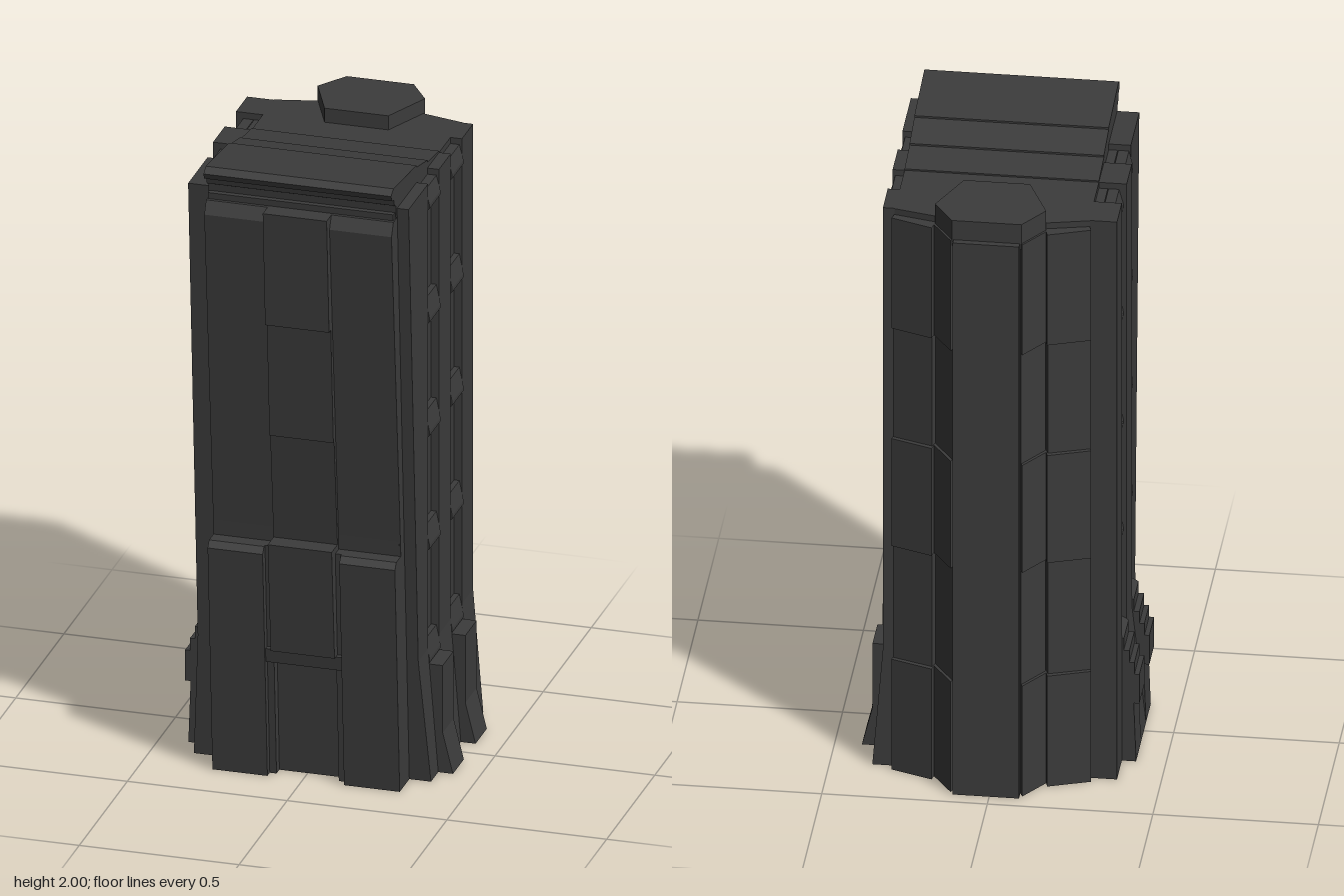
import * as THREE from 'three';

export function createModel() {
  const tower = new THREE.Group();
  tower.name = 'tower';
  const material = new THREE.MeshStandardMaterial({ color: 0x3c3c3c, flatShading: true });

  const add = (name, geometry) => {
    const mesh = new THREE.Mesh(geometry, material);
    mesh.name = name;
    tower.add(mesh);
    return mesh;
  };
  const extrude = (points, depth) => new THREE.ExtrudeGeometry(
    new THREE.Shape(points.map(([a, b]) => new THREE.Vector2(a, b))), { depth, bevelEnabled: false });

  // Plan outline [x, z] raised from y0 to y1
  const raise = (name, plan, y0, y1) =>
    add(name, extrude(plan.map(([x, z]) => [x, -z]), y1 - y0).rotateX(-Math.PI / 2).translate(0, y0, 0));
  // Side profile [z, y] swept from x0 to x1
  const sweepX = (name, profile, x0, x1) =>
    add(name, extrude(profile.map(([z, y]) => [-z, y]), x1 - x0).rotateY(Math.PI / 2).translate(x0, 0, 0));
  // Front profile [x, y] swept from z0 to z1
  const sweepZ = (name, profile, z0, z1) =>
    add(name, extrude(profile, z1 - z0).translate(0, 0, z0));
  // Box whose bottom and top rectangles [x0, x1, z0, z1] differ
  const taper = (name, y0, bottom, y1, top) => {
    const geometry = new THREE.BoxGeometry(1, 1, 1);
    const p = geometry.attributes.position;
    for (let i = 0; i < p.count; i++) {
      const up = p.getY(i) > 0;
      const r = up ? top : bottom;
      p.setXYZ(i, r[p.getX(i) > 0 ? 1 : 0], up ? y1 : y0, r[p.getZ(i) > 0 ? 3 : 2]);
    }
    geometry.computeVertexNormals();
    return add(name, geometry);
  };
  const mirror = (x) => 0.02 - x;

  // Core with leaning front
  taper('core', 0, [-0.31, 0.315, -0.3, 0.22], 1.9, [-0.31, 0.315, -0.3, 0.35]);
  taper('frontCore', 0, [-0.28, 0.3, 0, 0.285], 1.91, [-0.28, 0.3, 0, 0.395]);

  // Faceted back hull
  const halfBack = [[0.305, -0.25], [0.305, -0.305], [0.175, -0.335], [0.11, -0.425]];
  const mirrored = halfBack.map(([x, z]) => [mirror(x), z]).reverse();
  raise('backHull', [...halfBack, ...mirrored], 0, 1.92);
  raise('backCentrePanel', [[-0.09, -0.4], [-0.09, -0.455], [0.11, -0.455], [0.11, -0.4]], 0, 1.9);

  // Alternating proud and shallow panels on the back facets
  const rows = [0, 0.38, 0.77, 1.14, 1.52, 1.9];
  for (let i = 0; i < 5; i++) {
    const d = i % 2 ? 0.012 : 0.027;
    const wing = [[0.3, -0.29], [0.305 + d * 0.25, -0.305 - d * 0.8], [0.185, -0.345 - d], [0.17, -0.32]];
    const facet = [[0.165, -0.32], [0.17 + d * 0.5, -0.335 - d * 0.4], [0.11 + d * 0.3, -0.425 - d * 0.6], [0.1, -0.4]];
    for (const plan of [wing, facet]) {
      raise('backPanel', plan, rows[i], rows[i + 1]);
      raise('backPanel', plan.map(([x, z]) => [mirror(x), z]), rows[i], rows[i + 1]);
    }
  }

  // Side piers with flared feet; front pier leans forward
  const sides = [
    { s: 1, inner: 0.28, wall: [0.34, 0.34, 0.34], foot: [0.372, 0.372, 0.372] },
    { s: -1, inner: -0.28, wall: [-0.35, -0.367, -0.367], foot: [-0.37, -0.41, -0.367] },
  ];
  const spans = [[0.165, 0.24], [-0.07, 0.052], [-0.303, -0.187]];
  for (const { inner, wall, foot } of sides) {
    spans.forEach(([z0, z1], i) => {
      const rect = (x, front) => [Math.min(inner, x), Math.max(inner, x), z0, front];
      const lean = (y) => (i === 0 ? z1 + 0.066 * y : z1);
      taper('pierFoot', 0, rect(foot[i], lean(0)), 0.4, rect(wall[i], lean(0.4)));
      taper('sidePier', 0.4, rect(wall[i], lean(0.4)), 1.92, rect(wall[i], lean(1.92)));
    });
  }

  // Bay sills and buttresses between the piers
  const rightButtress = [[0.3, 0], [0.418, 0], [0.386, 0.13], [0.386, 0.35], [0.3, 0.35]];
  const leftButtress = [[-0.3, 0], [-0.41, 0], [-0.403, 0.2], [-0.42, 0.2], [-0.42, 0.3], [-0.405, 0.3],
    [-0.405, 0.34], [-0.39, 0.34], [-0.39, 0.38], [-0.373, 0.38], [-0.373, 0.42], [-0.3, 0.46]];
  for (const [z0, z1] of [[-0.187, -0.07], [0.052, 0.165]]) {
    sweepZ('buttress', rightButtress, z0, z1);
    sweepZ('buttress', leftButtress, z0, z1);
    for (let i = 0; i < 5; i++) {
      const y = 0.345 + i * 0.371;
      const top = Math.min(y + 0.085, 1.9);
      const sill = [[0.3, y], [0.335, y], [0.345, y + 0.01], [0.345, y + 0.022], [0.332, top], [0.3, top]];
      sweepZ('baySill', sill, z0, z1);
      sweepZ('baySill', sill.map(([x, h]) => [-x - 0.012, h]), z0, z1);
    }
  }

  // Front columns, lower and upper, with bevelled heads
  for (const [x0, x1, inset] of [[-0.282, -0.09, -0.02], [0.11, 0.304, 0.02]]) {
    const lowX0 = inset > 0 ? x0 + inset : x0;
    const lowX1 = inset < 0 ? x1 + inset : x1;
    sweepX('lowerFrontColumn', [[0.2, 0], [0.34, 0], [0.39, 0.745], [0.375, 0.765], [0.2, 0.765]], lowX0, lowX1);
    sweepX('upperFrontColumn', [[0.2, 0.76], [0.327, 0.76], [0.425, 1.85], [0.405, 1.89], [0.2, 1.89]], x0, x1);
  }

  // Stepped centre strip on the front
  const strip = [[0.76, 0.34, 1.135, 0.377], [1.135, 0.385, 1.515, 0.412], [1.515, 0.43, 1.89, 0.455]];
  for (const [y0, z0, y1, z1] of strip) {
    taper('frontCentrePanel', y0, [-0.09, 0.11, 0.2, z0], y1, [-0.09, 0.11, 0.2, z1]);
  }
  // Entrance recess with canopy, lintel and jambs
  taper('entranceCanopy', 0.425, [-0.09, 0.11, 0.2, 0.373], 0.785, [-0.09, 0.11, 0.2, 0.403]);
  taper('entranceLintel', 0.38, [-0.11, 0.13, 0.2, 0.355], 0.425, [-0.11, 0.13, 0.2, 0.36]);
  for (const x of [-0.115, 0.106]) {
    taper('entranceJamb', 0, [x, x + 0.026, 0.2, 0.315], 0.765, [x, x + 0.026, 0.2, 0.365]);
  }

  // Banded sloping roof with overhanging front lip
  sweepX('roof', [[-0.303, 1.85], [-0.303, 1.92], [-0.07, 1.92], [-0.07, 1.925], [0.05, 1.939], [0.05, 1.945],
    [0.165, 1.97], [0.165, 1.976], [0.405, 2], [0.43, 1.985], [0.423, 1.967], [0.4, 1.96], [0.395, 1.94],
    [0.38, 1.933], [0.37, 1.85]], -0.283, 0.304);

  // Rooftop housing
  raise('roofHousing', [[-0.09, -0.187], [0.11, -0.187], [0.178, -0.342], [0.115, -0.435],
    [-0.095, -0.435], [-0.158, -0.342]], 1.88, 1.966);

  return tower;
}
